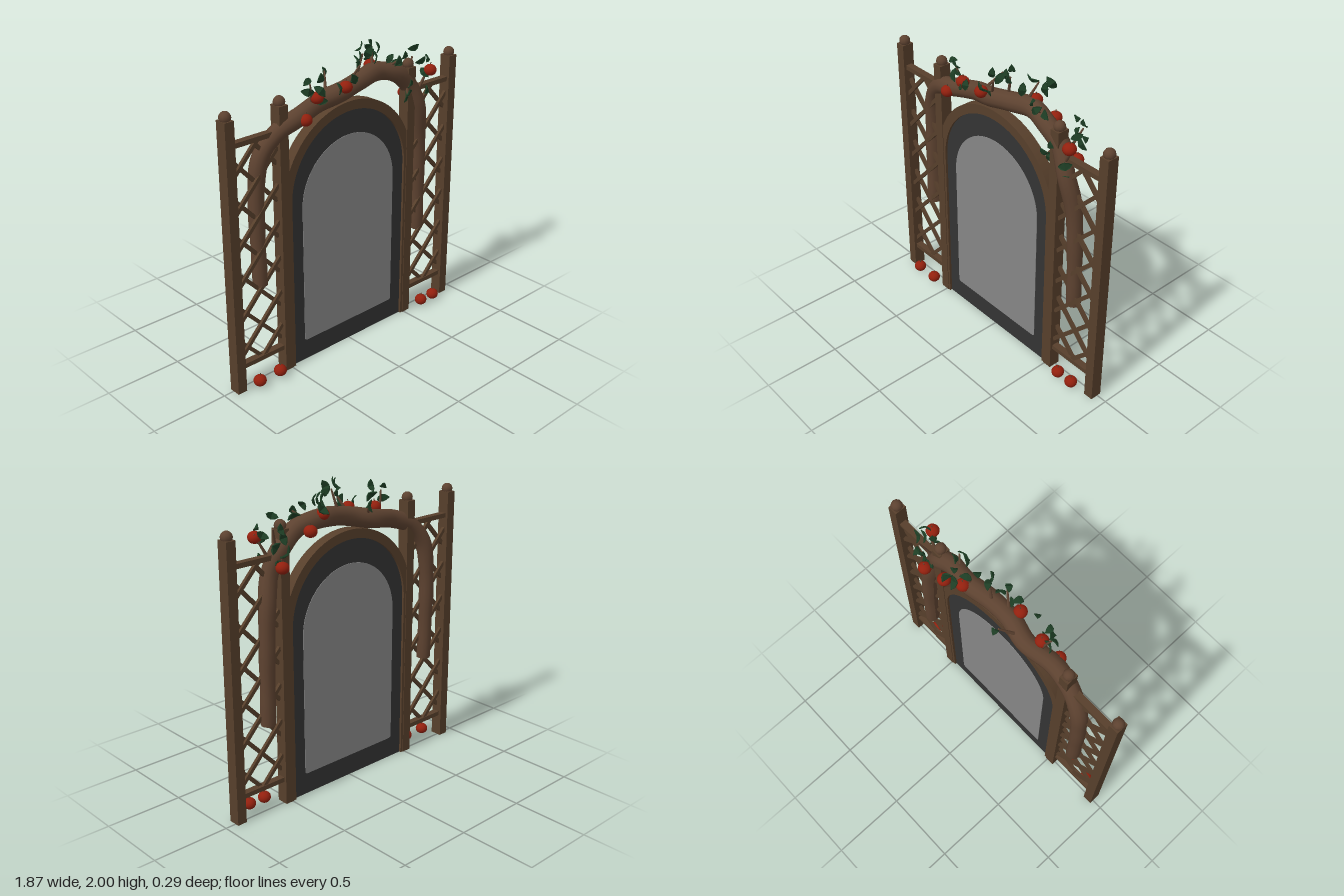
import * as THREE from 'three';
import { toCreasedNormals } from 'three/addons/utils/BufferGeometryUtils.js';

export function createModel() {
  const root = new THREE.Group();
  root.name = 'gardenArchway';
  const mat = (name, color, flatShading = false) => {
    const m = new THREE.MeshStandardMaterial({ color });
    m.name = name;
    m.flatShading = flatShading;
    return m;
  };
  const wood = mat('trellisWood', 0x573f2b);
  const bark = mat('bark', 0x5d4230);
  const dark = mat('darkPanel', 0x333333);
  const glass = mat('paleGlass', 0x868686);
  const red = mat('appleRed', 0x93200e);
  const green = mat('leafGreen', 0x1d3d24, true);
  const Z = 0.012; // middle plane of the trellis

  const add = (name, geo, m, x = 0, y = 0, z = 0, parent = root) => {
    const mesh = new THREE.Mesh(geo, m);
    mesh.name = name;
    mesh.position.set(x, y, z);
    parent.add(mesh);
    return mesh;
  };
  let seed = 11;
  const rand = () => (seed = (seed * 16807) % 2147483647) / 2147483647;
  const extrude = (shape, depth) => toCreasedNormals(
    new THREE.ExtrudeGeometry(shape, { depth, bevelEnabled: false, curveSegments: 32 })
      .translate(0, 0, -depth / 2), 0.5);
  const vec = (p) => new THREE.Vector3(...p);

  // Round rod between two points, tapering from r0 to r1
  const rod = (name, a, b, r0, r1, m) => {
    const dir = b.clone().sub(a);
    const mesh = add(name, new THREE.CylinderGeometry(r1, r0, dir.length(), 7), m);
    mesh.position.copy(a).add(b).multiplyScalar(0.5);
    mesh.quaternion.setFromUnitVectors(new THREE.Vector3(0, 1, 0), dir.normalize());
  };

  // Arched surround
  const arch = new THREE.Shape();
  arch.moveTo(0.53, 0).lineTo(0.53, 1.13);
  arch.absarc(0, 1.13, 0.53, 0, Math.PI, false);
  arch.lineTo(-0.53, 0).lineTo(-0.47, 0).lineTo(-0.47, 1.13);
  arch.absarc(0, 1.13, 0.47, Math.PI, 0, true);
  arch.lineTo(0.47, 0);
  add('archFrame', extrude(arch, 0.07), wood, 0, 0, Z);

  // Dark door panel and its pane
  const door = new THREE.Shape();
  door.moveTo(-0.472, 0).lineTo(0.472, 0).lineTo(0.472, 1.13);
  door.absarc(0, 1.13, 0.472, 0, Math.PI, false);
  add('doorPanel', extrude(door, 0.04), dark, 0, 0, Z);
  const pane = new THREE.Shape();
  pane.moveTo(-0.36, 0.14).lineTo(0.36, 0.14);
  pane.quadraticCurveTo(0.38, 0.14, 0.38, 0.16);
  pane.lineTo(0.38, 1.065);
  pane.absarc(0, 1.065, 0.38, 0, Math.PI, false);
  pane.lineTo(-0.38, 0.16);
  pane.quadraticCurveTo(-0.38, 0.14, -0.36, 0.14);
  for (const s of [1, -1]) add('doorPane', extrude(pane, 0.006), glass, 0, 0, Z + s * 0.02);

  // Side trellises: posts with knobs, rails and crossed slats
  for (const side of [1, -1]) {
    const trellis = new THREE.Group();
    trellis.name = side > 0 ? 'leftTrellis' : 'rightTrellis';
    root.add(trellis);
    for (const x of [0.52, 0.897]) {
      add('post', new THREE.BoxGeometry(0.064, 1.755, 0.078), wood, side * x, 0.8775, Z, trellis);
      add('postKnob', new THREE.SphereGeometry(0.036, 10, 8), bark, side * x, 1.772, Z, trellis);
    }
    for (const y of [0.165, 1.6]) {
      add('rail', new THREE.BoxGeometry(0.34, 0.03, 0.045), wood, side * 0.71, y, Z, trellis);
    }
    for (const slope of [1.06, -1.06]) {
      for (let k = -1; k <= 5; k++) {
        const yc = 0.4 + 0.235 * k;
        const lim = [(0.165 - yc) / slope, (1.6 - yc) / slope].sort((a, b) => a - b);
        const x0 = Math.max(-0.16, lim[0]), x1 = Math.min(0.16, lim[1]);
        const xm = (x0 + x1) / 2;
        const slat = add('latticeSlat',
          new THREE.BoxGeometry((x1 - x0) * Math.hypot(1, slope), 0.024, 0.02), wood,
          side * 0.71 + xm, yc + slope * xm, Z + Math.sign(slope) * 0.008, trellis);
        slat.rotation.z = Math.atan(slope);
      }
    }
  }

  // Bent branch over the arch, thickest in the middle
  const path = new THREE.CatmullRomCurve3([
    [-0.683, 0.65, -0.012], [-0.685, 0.95, -0.018], [-0.68, 1.25, -0.022], [-0.645, 1.47, -0.012],
    [-0.54, 1.595, 0.015], [-0.4, 1.65, 0.03], [-0.2, 1.69, -0.005], [-0.05, 1.725, 0.022],
    [0.1, 1.755, 0.012], [0.27, 1.77, -0.018], [0.41, 1.735, 0.005], [0.52, 1.65, 0.0],
    [0.595, 1.5, 0.025], [0.64, 1.3, 0.0], [0.658, 1.05, -0.01], [0.668, 0.58, -0.015],
  ].map(vec));
  const SEG = 90, SIDES = 12;
  const tube = new THREE.TubeGeometry(path, SEG, 1, SIDES, false);
  const pos = tube.attributes.position, v = new THREE.Vector3();
  for (let i = 0; i <= SEG; i++) {
    const t = i / SEG, c = path.getPointAt(t);
    const r = 0.046 + 0.014 * Math.sin(Math.PI * t) ** 2 + 0.0015 * Math.sin(t * 60);
    for (let j = 0; j <= SIDES; j++) {
      const n = i * (SIDES + 1) + j;
      v.fromBufferAttribute(pos, n).sub(c).multiplyScalar(r).add(c);
      pos.setXYZ(n, v.x, v.y, v.z);
    }
  }
  tube.computeVertexNormals();
  add('branch', tube, bark);
  for (const t of [0, 1]) {
    const c = path.getPointAt(t);
    add('branchEnd', new THREE.CircleGeometry(0.046, SIDES).rotateX(Math.PI / 2), bark, c.x, c.y + 0.002, c.z);
  }

  // Twigs
  [
    [[-0.28, 1.68, 0.02], [-0.33, 1.84, 0.06]], [[-0.15, 1.72, -0.01], [-0.08, 1.83, -0.1]],
    [[-0.03, 1.74, 0.03], [0.04, 1.88, 0.08]], [[0.08, 1.77, 0.0], [0.12, 1.92, 0.02]],
    [[0.22, 1.78, 0.0], [0.27, 1.92, -0.06]], [[0.33, 1.77, -0.01], [0.4, 1.83, 0.05]],
    [[0.52, 1.66, 0.0], [0.47, 1.59, 0.06]], [[0.56, 1.6, 0.0], [0.63, 1.78, -0.06]],
    [[0.58, 1.56, 0.03], [0.68, 1.74, 0.05]],
  ].forEach(([a, b]) => rod('twig', vec(a), vec(b), 0.012, 0.005, bark));

  // Leaves: thin pointed ovals folded along the midrib
  const outline = new THREE.Shape([
    [0, -0.042], [0.016, -0.026], [0.024, 0], [0.017, 0.024], [0, 0.042],
    [-0.017, 0.024], [-0.024, 0], [-0.016, -0.026],
  ].map(([x, y]) => new THREE.Vector2(x, y)));
  const leaf = new THREE.ExtrudeGeometry(outline, { depth: 0.006, bevelEnabled: false });
  const lp = leaf.attributes.position;
  for (let i = 0; i < lp.count; i++) {
    lp.setZ(i, lp.getZ(i) + Math.abs(lp.getX(i)) * 0.4 - lp.getY(i) ** 2 * 6);
  }
  leaf.computeVertexNormals();
  [
    [-0.35, 1.86, 0.06], [-0.28, 1.87, 0.09], [-0.33, 1.79, 0.04], [-0.29, 1.8, 0.1],
    [-0.26, 1.73, 0.07], [-0.27, 1.71, 0.03], [-0.16, 1.79, 0.12], [-0.07, 1.81, -0.12],
    [-0.03, 1.82, 0.1], [0.0, 1.79, 0.07], [0.03, 1.93, 0.08], [0.05, 1.89, 0.04],
    [0.11, 1.96, 0.0], [0.14, 1.93, 0.05], [0.22, 1.88, 0.02], [0.23, 1.93, -0.05],
    [0.29, 1.85, -0.1], [0.32, 1.9, -0.06], [0.33, 1.85, 0.04], [0.38, 1.83, 0.06],
    [0.41, 1.8, 0.02], [0.31, 1.91, -0.12], [0.47, 1.61, 0.07], [0.5, 1.65, 0.05],
    [0.57, 1.72, -0.08], [0.54, 1.63, -0.05], [0.61, 1.85, -0.03], [0.6, 1.78, -0.1],
    [0.67, 1.78, 0.03], [0.68, 1.75, -0.03], [0.63, 1.7, 0.05], [0.63, 1.59, 0.07],
    [0.61, 1.51, 0.05], [0.58, 1.57, -0.05], [0.48, 1.57, 0.04], [0.62, 1.67, -0.07],
  ].forEach(([x, y, z]) => {
    const m = add('leaf', leaf, green, x, y, z);
    m.rotation.set((rand() - 0.5) * 1.4, (rand() - 0.5) * 2, rand() * Math.PI * 2);
    m.scale.setScalar(0.8 + rand() * 0.3);
  });

  // Apples on the branch and on the ground
  const apple = new THREE.SphereGeometry(0.041, 16, 12).scale(1, 0.9, 1);
  [
    [-0.385, 1.645, 0.08], [-0.07, 1.77, 0.078], [0.66, 1.715, 0.072], [-0.27, 1.745, 0.052],
    [0.255, 1.805, -0.055], [0.38, 1.73, -0.09], [0.58, 1.55, -0.075],
    [-0.78, 0.048, 0.073], [-0.62, 0.048, 0.073], [0.648, 0.048, 0.073], [0.765, 0.048, 0.073],
  ].forEach((p) => {
    add('apple', apple, red, ...p);
    const [x, y, z] = p;
    rod('appleStem', vec([x, y + 0.03, z]), vec([x + 0.005, y + 0.05, z]), 0.003, 0.003, bark);
  });
  return root;
}
